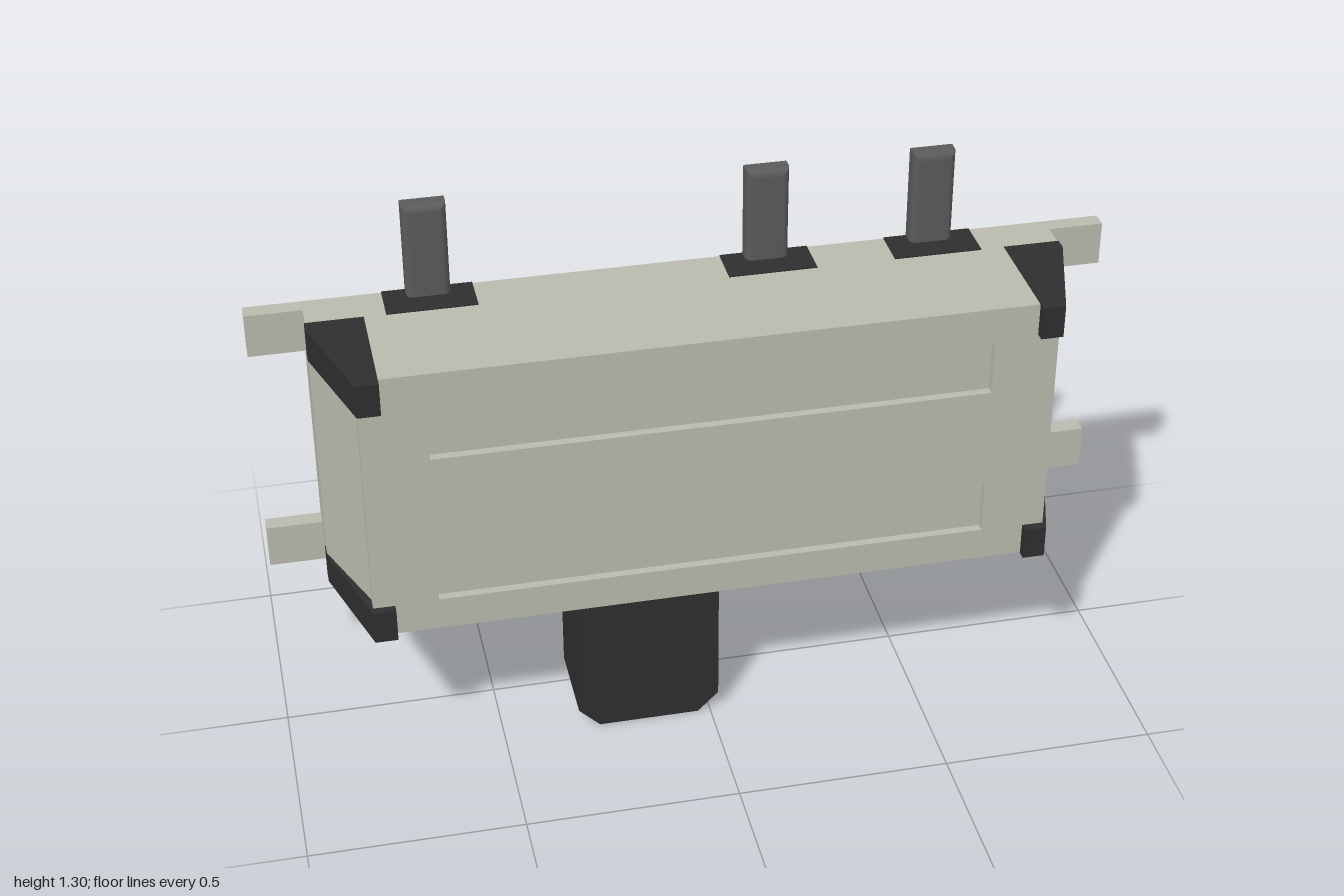
import * as THREE from 'three';

const shell = new THREE.MeshStandardMaterial({ color: 0xbab9ae });
shell.name = 'shellGrey';
const black = new THREE.MeshStandardMaterial({ color: 0x2e2e2e });
black.name = 'blackPlastic';
const metal = new THREE.MeshStandardMaterial({ color: 0x5a5a5a });
metal.name = 'pinMetal';

const poly = (pts) => new THREE.Shape(pts.map(([x, y]) => new THREE.Vector2(x, y)));
const rect = (x0, x1, y0, y1) => poly([[x0, y0], [x1, y0], [x1, y1], [x0, y1]]);
const extrude = (shape, depth) => new THREE.ExtrudeGeometry(shape, { depth, bevelEnabled: false });

// Plan shape in (x, -z), raised from y0 to y1
const raise = (shape, y0, y1) => extrude(shape, y1 - y0).rotateX(-Math.PI / 2).translate(0, y0, 0);

const box = (x0, x1, y0, y1, z0, z1) => new THREE.BoxGeometry(x1 - x0, y1 - y0, z1 - z0)
  .translate((x0 + x1) / 2, (y0 + y1) / 2, (z0 + z1) / 2);

// Terminal with rounded front edges and a flat back
function pinGeometry(x) {
  const r = 0.016;
  const geo = new THREE.ExtrudeGeometry(rect(-0.05 + r, 0.05 - r, 1.05 + r, 1.3 - r), {
    depth: 0.04 - r, bevelSize: r, bevelThickness: r, bevelSegments: 4,
  });
  const p = geo.attributes.position;
  for (let i = 0; i < p.count; i++) p.setZ(i, Math.max(p.getZ(i), 0));
  geo.computeVertexNormals();
  return geo.translate(x, 0, -0.128);
}

export function createModel() {
  const model = new THREE.Group();
  model.name = 'slideSwitch';
  const add = (name, geo, mat) => {
    const mesh = new THREE.Mesh(geo, mat);
    mesh.name = name;
    model.add(mesh);
    return mesh;
  };

  // Housing: tapered sides, slot in the underside
  const plan = () => poly([
    [-0.79, -0.215], [0.79, -0.215], [0.79, -0.2], [0.87, 0],
    [0.87, 0.13], [-0.87, 0.13], [-0.87, 0], [-0.79, -0.2],
  ]);
  const slotted = plan();
  slotted.holes.push(rect(-0.32, 0.32, -0.185, -0.08));
  add('housingBase', raise(slotted, 0.39, 0.5), shell);
  add('housing', raise(plan(), 0.5, 1.07), shell);

  // Front panel with two long shallow recesses
  const panel = rect(-0.79, 0.79, 0.39, 1.07);
  panel.holes.push(rect(-0.64, 0.64, 0.85, 0.985), rect(-0.64, 0.64, 0.47, 0.605));
  add('frontPanel', extrude(panel, 0.02).translate(0, 0, 0.215), shell);

  // Mounting tabs, corner clips and locating pegs on both sides
  for (const s of [-1, 1]) {
    for (const [y0, y1] of [[0.39, 0.495], [0.965, 1.07]]) {
      add('mountingTab', box(s > 0 ? 0.87 : -1, s > 0 ? 1 : -0.87, y0, y1, -0.13, -0.09), shell);
    }
    for (const [y0, y1] of [[0.388, 0.468], [0.992, 1.072]]) {
      const clip = poly([[0.74, 0.03], [0.74, -0.257], [0.792, -0.257], [0.872, 0], [0.872, 0.03]]
        .map(([x, y]) => [s * x, y]));
      add('cornerClip', raise(clip, y0, y1), black);
    }
    const peg = add('locatingPeg', new THREE.CylinderGeometry(0.103, 0.103, 0.105, 32), black);
    peg.rotation.x = -Math.PI / 2;
    peg.position.set(s * 0.39, 0.73, -0.1825);
    const tip = add('pegChamfer', new THREE.CylinderGeometry(0.078, 0.103, 0.025, 32), black);
    tip.rotation.x = -Math.PI / 2;
    tip.position.set(s * 0.39, 0.73, -0.2475);
  }

  // Terminals on black insulator pads
  for (const x of [-0.587, 0.192, 0.582]) {
    add('insulatorPad', box(x - 0.103, x + 0.103, 1.066, 1.073, -0.13, -0.03), black);
    add('terminalPin', pinGeometry(x), metal);
  }

  // Sliding lever: chamfered knob and a neck running into the slot
  const knob = poly([[-0.27, 0], [-0.03, 0], [0.02, 0.05], [0.02, 0.34], [-0.32, 0.34], [-0.32, 0.05]]);
  add('sliderKnob', extrude(knob, 0.21).translate(0, 0, -0.025), black);
  add('sliderNeck', box(-0.318, 0.02, 0.34, 0.49, 0.082, 0.184), black);

  return model;
}
